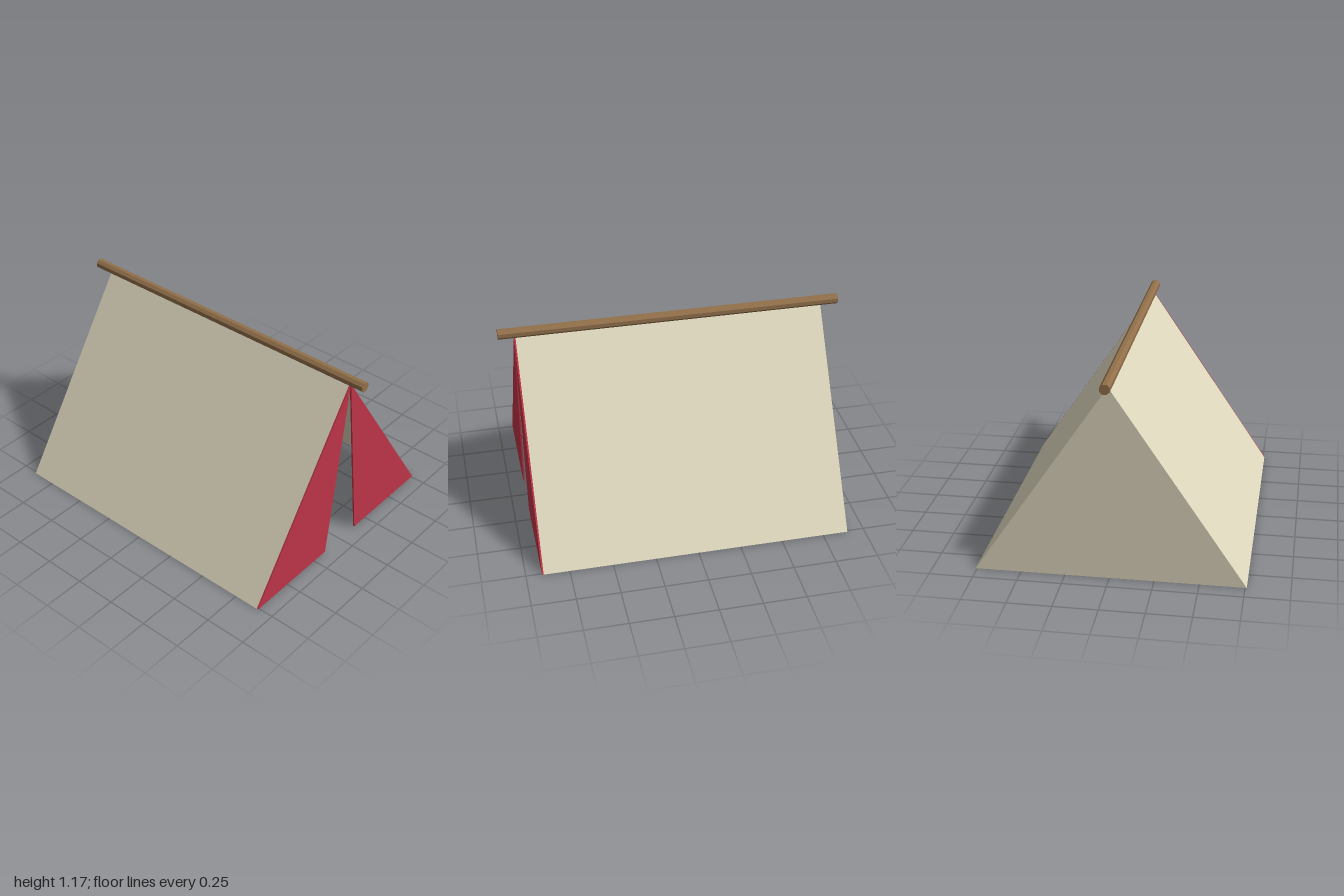
import * as THREE from 'three';

const HALF = 0.76, APEX = 1.125, DEPTH = 0.9, GAP = 0.145;

export function createModel() {
  const tent = new THREE.Group();
  tent.name = 'tent';

  const material = (name, color, extra = {}) => {
    const m = new THREE.MeshStandardMaterial({ color, ...extra });
    m.name = name;
    return m;
  };
  const canvas = material('cream canvas', 0xded7bd, { side: THREE.DoubleSide });
  const red = material('red cloth', 0xbe3547);
  const wood = material('brown wood', 0x92704a, { flatShading: true });

  const add = (name, geometry, mat) => {
    const mesh = new THREE.Mesh(geometry, mat);
    mesh.name = name;
    tent.add(mesh);
    return mesh;
  };
  const triangle = (a, b, c) => new THREE.Shape([a, b, c].map(([x, y]) => new THREE.Vector2(x, y)));

  // Sloping canvas sides and the front flaps, mirrored left and right
  const slope = Math.hypot(HALF, APEX);
  for (const [side, s] of [['left', 1], ['right', -1]]) {
    const wall = new THREE.PlaneGeometry(2 * DEPTH, slope);
    wall.rotateY(s * Math.PI / 2);
    wall.rotateZ(s * Math.atan2(HALF, APEX));
    add(side + 'Wall', wall, canvas).position.set(s * HALF / 2, APEX / 2, 0);

    const flap = new THREE.ExtrudeGeometry(
      triangle([0, APEX], [s * GAP, 0], [s * HALF, 0]), { depth: 0.009, bevelEnabled: false });
    add(side + 'Flap', flap, red).position.z = DEPTH;
  }

  // Closed back panel
  const back = new THREE.ShapeGeometry(triangle([-HALF, 0], [HALF, 0], [0, APEX]));
  back.rotateY(Math.PI);
  add('backPanel', back, canvas).position.z = -DEPTH;

  // Octagonal ridge pole
  const pole = new THREE.CylinderGeometry(0.03, 0.03, 2, 8);
  pole.rotateY(Math.PI / 8);
  pole.rotateX(Math.PI / 2);
  add('ridgePole', pole, wood).position.y = 1.147;

  return tent;
}
